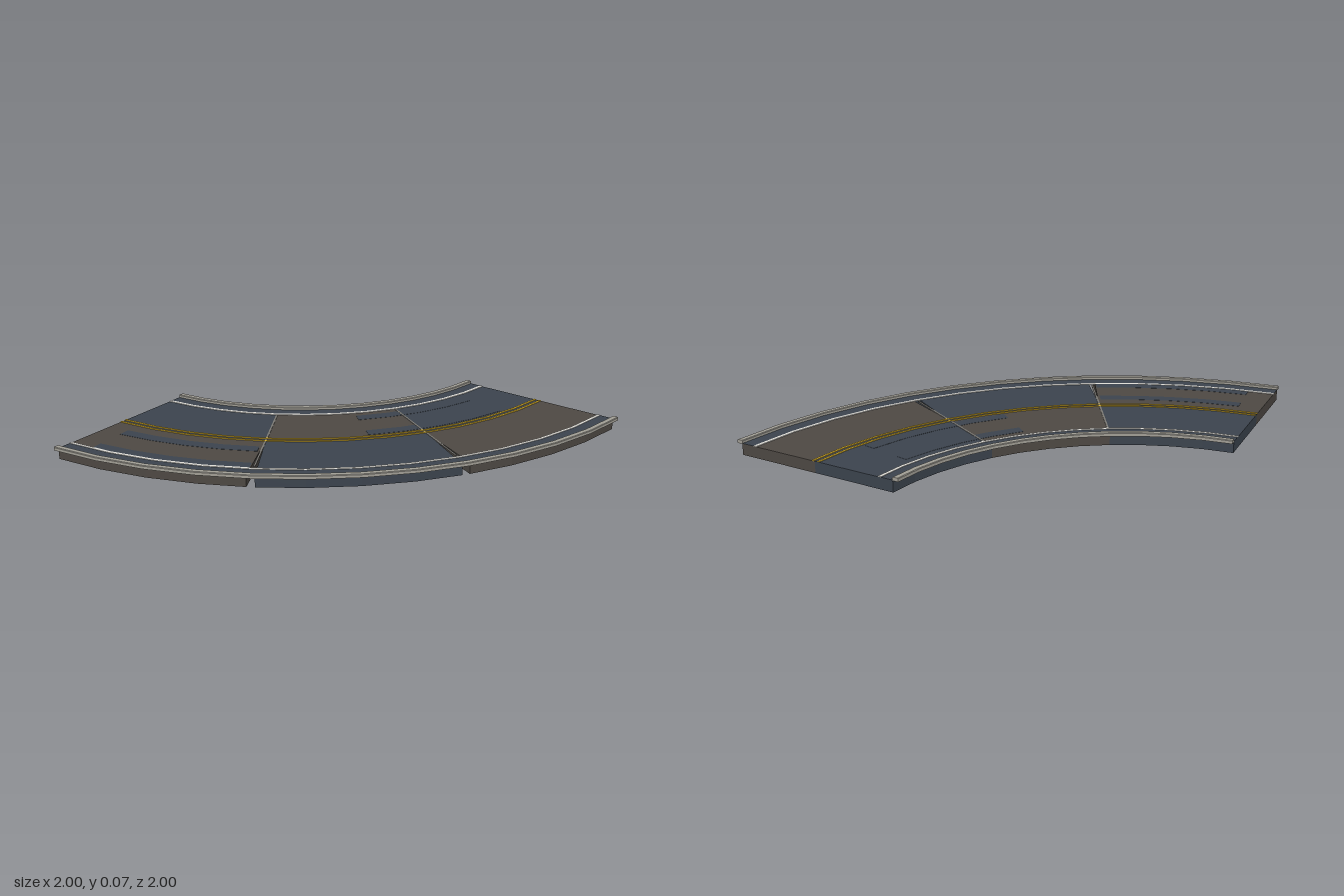
import * as THREE from 'three';

const C = 1.06;                                   // bend centre sits at (C, -C)
const DEG = Math.PI / 180;
const START = 3.2, END = 86.8, SLAB = (END - START) / 3;
const STEPS = 4;                                  // facets per slab
const TOP = 0.055;
const R_IN = 1.18, R_MID = 1.605, R_OUT = 2.035;

const mat = (color) => new THREE.MeshStandardMaterial({ color, flatShading: true, roughness: 0.9 });
const asphalt = mat(0x3b434d);
const worn = mat(0x4d4843);
const stone = mat(0xa09d94);
const white = mat(0xdedcd6);
const yellow = mat(0xd9b02a);
const jointGrey = mat(0x7a7873);

// Sweep a closed [radius, height] outline around the bend.
// gapA / gapB pull the outer corners of the two ends back by that angle (radians).
function sweep(profile, a0, a1, steps, gapA = 0, gapB = 0) {
  const n = profile.length, rMax = Math.max(...profile.map((p) => p[0]));
  const pos = [], idx = [];
  for (let s = 0; s <= steps; s++) {
    for (const [r, y] of profile) {
      let a = (a0 + ((a1 - a0) * s) / steps) * DEG;
      if (r === rMax && s === 0) a += gapA;
      if (r === rMax && s === steps) a -= gapB;
      pos.push(C - r * Math.cos(a), y, -C + r * Math.sin(a));
    }
  }
  for (let s = 0; s < steps; s++) {
    for (let i = 0; i < n; i++) {
      const a = s * n + i, b = s * n + ((i + 1) % n);
      idx.push(a, a + n, b, b, a + n, b + n);
    }
  }
  const last = steps * n;
  for (let i = 1; i < n - 1; i++) {
    idx.push(0, i, i + 1, last, last + i + 1, last + i);
  }
  const g = new THREE.BufferGeometry();
  g.setAttribute('position', new THREE.Float32BufferAttribute(pos, 3));
  g.setIndex(idx);
  const flat = g.toNonIndexed();
  flat.computeVertexNormals();
  return flat;
}

const rect = (r0, r1, y0, y1) => [[r0, y0], [r1, y0], [r1, y1], [r0, y1]];

export function createModel() {
  const model = new THREE.Group();
  model.name = 'curvedRoad';
  const add = (name, geometry, material) => {
    const m = new THREE.Mesh(geometry, material);
    m.name = name;
    model.add(m);
    return m;
  };
  // Thin strip lying on the road surface
  const strip = (name, r, width, thick, material, a0 = START, a1 = END, steps = 3 * STEPS) =>
    add(name, sweep(rect(r - width / 2, r + width / 2, TOP - 0.002, TOP + thick), a0, a1, steps), material);

  // Road slabs: two lanes each, colours alternating, outer joints opening in a wedge
  const wedge = 0.0095;
  for (let k = 0; k < 3; k++) {
    const a0 = START + k * SLAB, a1 = a0 + SLAB;
    const outerWorn = k !== 1;
    add('innerLaneSlab', sweep(rect(R_IN, R_MID, 0, TOP), a0, a1, STEPS), outerWorn ? asphalt : worn);
    add('outerLaneSlab', sweep(rect(R_MID, R_OUT, 0, TOP), a0, a1, STEPS, k > 0 ? wedge : 0, k < 2 ? wedge : 0),
      outerWorn ? worn : asphalt);
  }

  // Shoulders between edge line and kerb
  strip('outerShoulder', 1.997, 0.075, 0.001, asphalt);
  strip('innerShoulder', 1.215, 0.07, 0.001, asphalt);

  // Kerbs with a small chamfer, overhanging the slabs
  const kerb = (r0, r1) => {
    const y0 = TOP - 0.002, y1 = 0.07, c = 0.003;
    return [[r0, y0], [r1, y0], [r1, y1 - c], [r1 - c, y1], [r0 + c, y1], [r0, y1 - c]];
  };
  add('outerKerb', sweep(kerb(2.033, 2.063), START, END, 3 * STEPS), stone);
  add('innerKerb', sweep(kerb(1.152, 1.182), START, END, 3 * STEPS), stone);

  // Painted lines
  strip('outerEdgeLine', 1.957, 0.016, 0.003, white);
  strip('innerEdgeLine', 1.251, 0.016, 0.003, white);
  for (const side of [-1, 1]) strip('centreLine', 1.601 + side * 0.015, 0.012, 0.003, yellow);

  // Darker wheel tracks
  for (const r of [1.72, 1.92]) strip('outerWheelTrack', r, 0.06, 0.001, asphalt, 7, 30.5, STEPS);
  for (const r of [1.325, 1.535]) strip('innerWheelTrack', r, 0.06, 0.001, asphalt, 49, 77, STEPS);

  // Joint seams across the lanes
  for (let k = 1; k < 3; k++) {
    const a = (START + k * SLAB) * DEG, r0 = 1.26, r1 = 1.93, r = (r0 + r1) / 2;
    const seam = add('jointSeam', new THREE.BoxGeometry(r1 - r0, 0.004, 0.009), jointGrey);
    seam.position.set(C - r * Math.cos(a), TOP, -C + r * Math.sin(a));
    seam.rotation.y = a;
  }
  return model;
}
